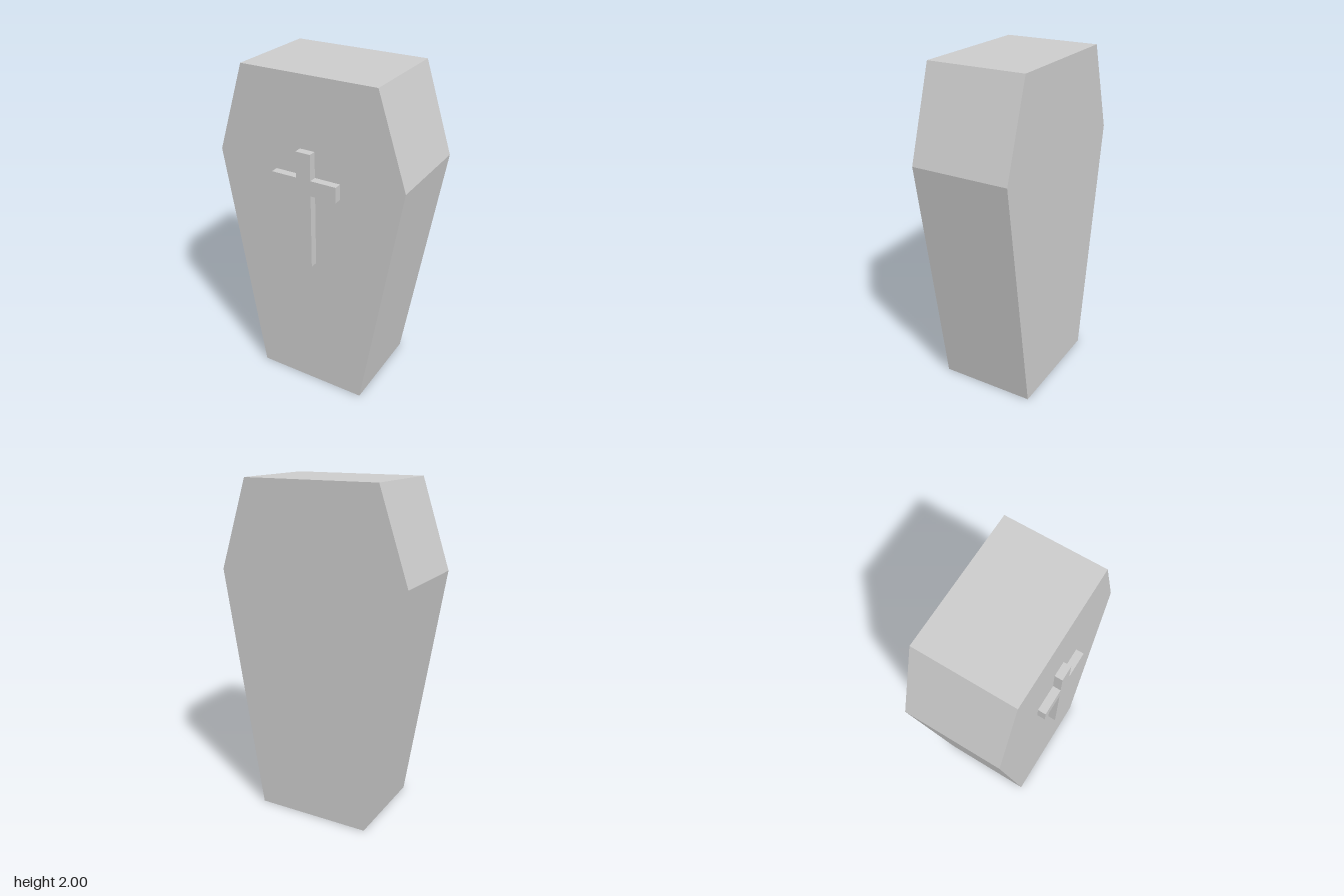
import * as THREE from 'three';

const BACK = -0.315, LID = 0.268, FRONT = 0.315;

// Mirrors a right-hand outline (listed bottom to top) and extrudes it from z0 to z1
function slab(name, half, z0, z1, material) {
  const mirrored = half.map(([x, y]) => [-x, y]).reverse();
  const shape = new THREE.Shape([...half, ...mirrored].map(([x, y]) => new THREE.Vector2(x, y)));
  const geometry = new THREE.ExtrudeGeometry(shape, { depth: z1 - z0, bevelEnabled: false });
  geometry.translate(0, 0, z0);
  const mesh = new THREE.Mesh(geometry, material);
  mesh.name = name;
  return mesh;
}

export function createModel() {
  const stone = new THREE.MeshStandardMaterial({ color: 0xcccccc });
  stone.name = 'light grey';

  const group = new THREE.Group();
  group.name = 'coffin';

  // Six-sided coffin body, widest at the shoulders
  group.add(slab('coffinBody', [[0.352, 0], [0.587, 1.472], [0.412, 2]], BACK, LID, stone));

  // Raised cross on the lid
  group.add(slab('cross', [
    [0.046, 0.887], [0.046, 1.343], [0.204, 1.343],
    [0.204, 1.435], [0.046, 1.435], [0.046, 1.588],
  ], LID, FRONT, stone));

  return group;
}
